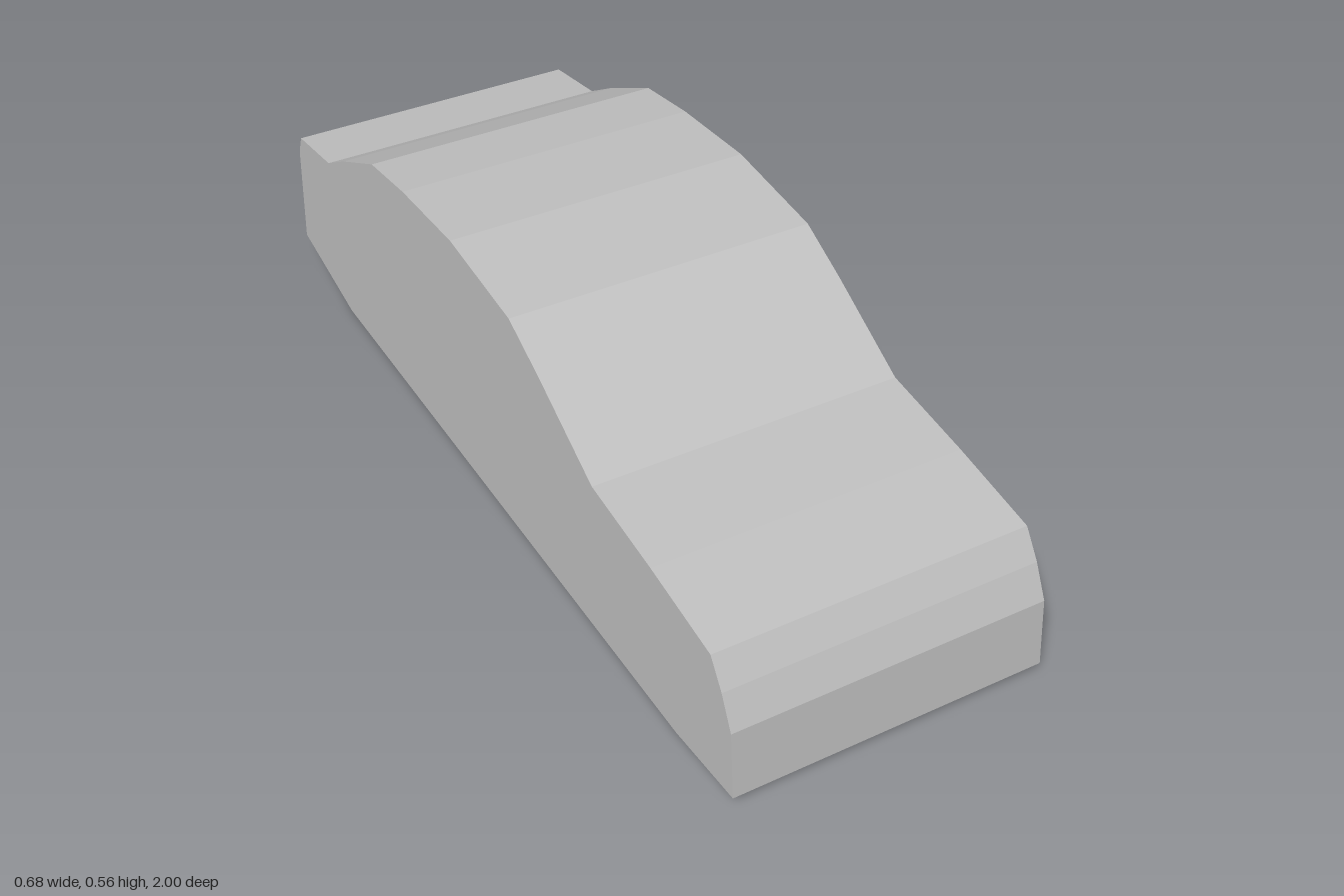
import * as THREE from 'three';

const WIDTH = 0.684;

// Side outline as (z, y), from the lower nose over the roof to the tail and back underneath
const OUTLINE = [
  [1, 0.02], [0.985, 0.17], [0.95, 0.24], [0.91, 0.298], // nose
  [0.70, 0.33], [0.48, 0.356],                           // bonnet
  [0.27, 0.47], [0.147, 0.53],                           // windscreen
  [-0.115, 0.557], [-0.35, 0.543], [-0.515, 0.521],      // roof
  [-0.69, 0.435], [-0.79, 0.377],                        // rear window
  [-0.965, 0.352], [-0.985, 0.305], [-1, 0.06],          // boot and tail
  [-0.73, 0], [0.80, 0],                                 // underside
];

export function createModel() {
  const group = new THREE.Group();
  group.name = 'carBodyBlock';

  const bodyGrey = new THREE.MeshStandardMaterial({ color: 0xc0c0c0 });
  bodyGrey.name = 'body grey';

  // Body: the outline extruded across the full width, flat on both sides
  const shape = new THREE.Shape(OUTLINE.map(([z, y]) => new THREE.Vector2(z, y)));
  const geometry = new THREE.ExtrudeGeometry(shape, { depth: WIDTH, bevelEnabled: false });
  geometry.translate(0, 0, -WIDTH / 2);
  geometry.rotateY(-Math.PI / 2); // outline runs along z, width along x

  const body = new THREE.Mesh(geometry, bodyGrey);
  body.name = 'carBody';
  group.add(body);
  return group;
}
